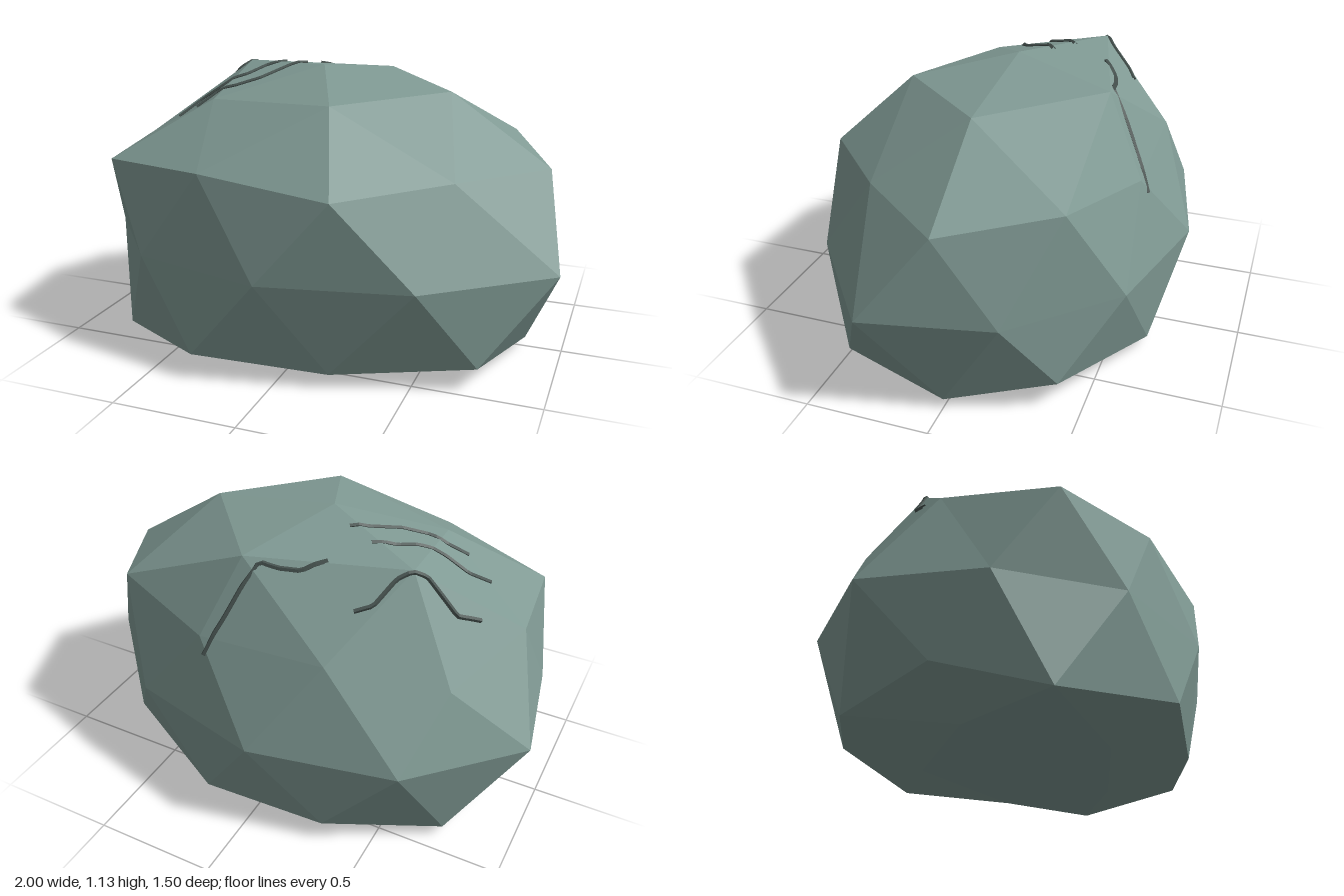
import * as THREE from 'three';

const v = (p) => new THREE.Vector3(...p);

// Vertex rings of the boulder, from the crown to the base, running from +x towards +z
const top = v([-0.04, 1.13, 0]);
const bottom = v([-0.04, 0, 0]);
const crown = [[0.5, 1.05, 0], [0.13, 1.04, 0.4], [-0.44, 1, 0.23], [-0.49, 1.09, -0.26], [0.13, 1.07, -0.425]].map(v);
const shoulder = [
  [0.91, 0.77, 0], [0.61, 0.78, 0.37], [0.24, 0.76, 0.7], [-0.31, 0.8, 0.64], [-0.81, 0.765, 0.44],
  [-0.86, 0.79, 0], [-0.71, 0.7, -0.385], [-0.29, 0.8, -0.58], [0.24, 0.77, -0.585], [0.7, 0.825, -0.42],
].map(v);
const girth = [
  [1, 0.27], [0.54, 0.63], [-0.04, 0.75], [-0.59, 0.61], [-0.91, 0.22],
  [-1, -0.25], [-0.62, -0.63], [-0.04, -0.75], [0.52, -0.61], [0.89, -0.24],
].map(([x, z]) => v([x, 0.43, z]));
const foot = [
  [0.85, 0.04, 0], [0.74, 0.09, 0.45], [0.21, 0.06, 0.63], [-0.33, 0.09, 0.71], [-0.79, 0.025, 0.4],
  [-0.9, 0.13, 0], [-0.74, 0.05, -0.42], [-0.32, 0.09, -0.66], [0.22, 0.05, -0.65], [0.72, 0.12, -0.41],
].map(v);
const base = [[0.35, 0.25], [-0.2, 0.42], [-0.63, 0], [-0.2, -0.36], [0.37, -0.22]].map(([x, z]) => v([x, 0, z]));

function boulderGeometry() {
  const points = [];
  const face = (a, b, c) => points.push(a, b, c);
  // Crown and base caps: five-sided fans that widen to ten sides
  for (let k = 0; k < 5; k++) {
    const n = (k + 1) % 5, i = 2 * k;
    const side = shoulder[i + 1], before = shoulder[(i + 9) % 10];
    face(top, crown[n], crown[k]);
    face(crown[k], crown[n], side);
    face(crown[k], side, shoulder[i]);
    face(crown[k], shoulder[i], before);

    const mid = foot[(i + 2) % 10];
    face(bottom, base[k], base[n]);
    face(base[k], mid, base[n]);
    face(base[k], foot[i + 1], mid);
    face(base[k], foot[i], foot[i + 1]);
  }
  // Side bands of alternating triangles
  for (let i = 0; i < 10; i++) {
    const n = (i + 1) % 10, p = (i + 9) % 10;
    face(shoulder[i], girth[i], girth[p]);
    face(shoulder[i], shoulder[n], girth[i]);
    face(girth[i], foot[n], foot[i]);
    face(girth[p], girth[i], foot[i]);
  }
  const geometry = new THREE.BufferGeometry().setFromPoints(points);
  geometry.computeVertexNormals();
  return geometry;
}

// Crack paths as seen from above, x and z
const crackPaths = [
  [[0.21, -0.61], [0.15, -0.54], [0.06, -0.42], [-0.02, -0.41], [-0.1, -0.39], [-0.18, -0.33]],
  [[-0.33, -0.42], [-0.39, -0.385], [-0.44, -0.3], [-0.53, -0.23], [-0.65, -0.21], [-0.72, -0.14]],
  [[-0.28, -0.17], [-0.36, -0.12], [-0.41, -0.04], [-0.51, 0.015], [-0.6, 0.035], [-0.67, 0.11]],
  [[-0.16, -0.11], [-0.22, -0.07], [-0.31, 0.05], [-0.4, 0.1], [-0.48, 0.115], [-0.55, 0.17]],
];

// Drops a crack path onto the boulder and sweeps a thin tube along it
function crackGeometry(path, boulder) {
  const ray = new THREE.Raycaster();
  const down = new THREE.Vector3(0, -1, 0);
  const points = [];
  const drop = (x, z) => {
    ray.set(new THREE.Vector3(x, 3, z), down);
    const hit = ray.intersectObject(boulder)[0];
    if (hit) points.push(hit.point);
  };
  path.forEach(([x, z], i) => {
    drop(x, z);
    const next = path[i + 1];
    if (next) drop((x + next[0]) / 2, (z + next[1]) / 2);
  });
  const curve = new THREE.CatmullRomCurve3(points, false, 'catmullrom', 0.1);
  return new THREE.TubeGeometry(curve, 30, 0.01, 5);
}

export function createModel() {
  const group = new THREE.Group();
  group.name = 'boulder';

  const rock = new THREE.Mesh(
    boulderGeometry(),
    new THREE.MeshStandardMaterial({ color: 0x809a94, flatShading: true }),
  );
  rock.name = 'rock';
  group.add(rock);

  // Dark cracks over the crown
  const crackMaterial = new THREE.MeshStandardMaterial({ color: 0x46524f, flatShading: true, side: THREE.DoubleSide });
  crackPaths.forEach((path, i) => {
    const crack = new THREE.Mesh(crackGeometry(path, rock), crackMaterial);
    crack.name = `crack${i + 1}`;
    group.add(crack);
  });
  return group;
}
